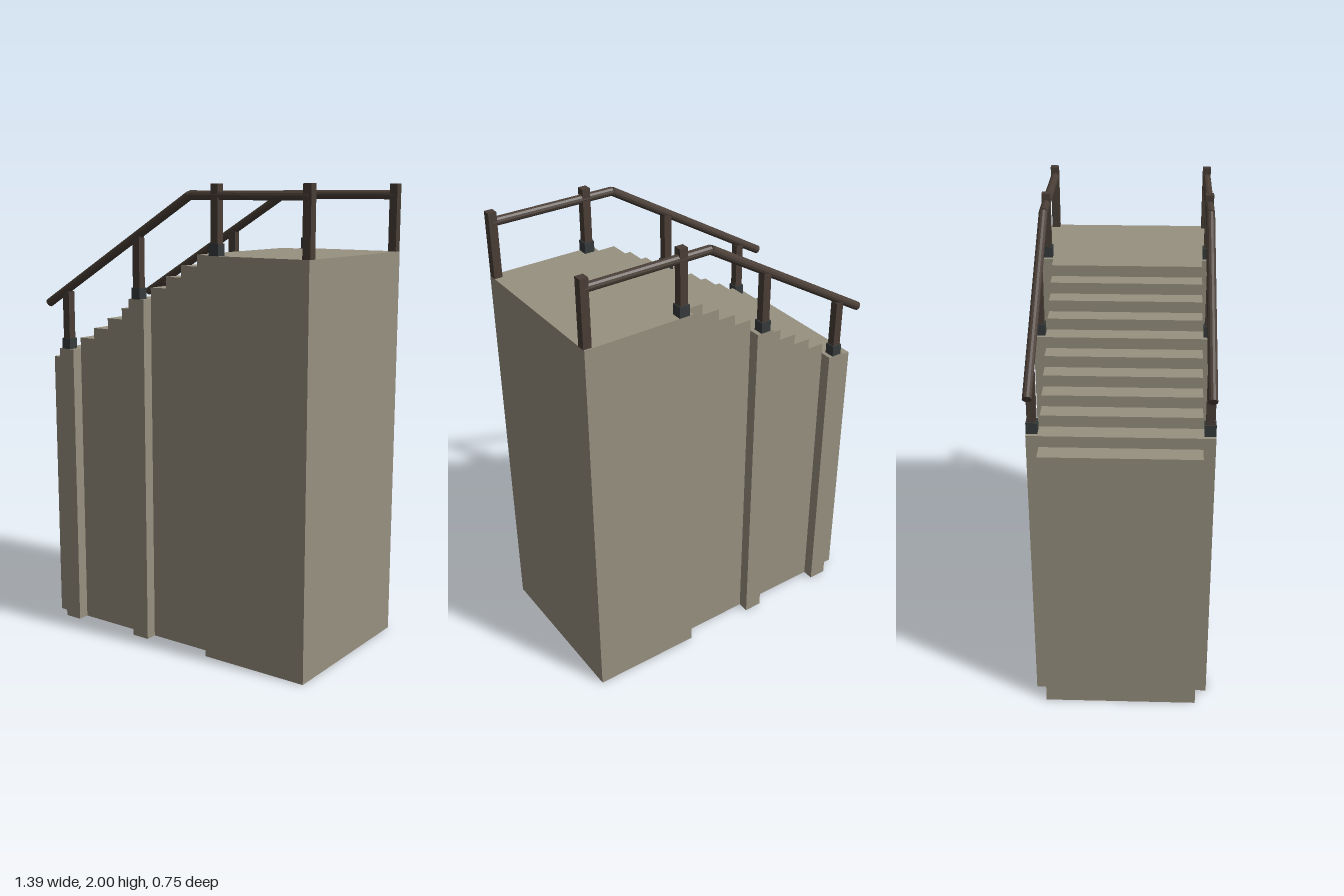
import * as THREE from 'three';

const stone = new THREE.MeshStandardMaterial({ color: 0x989180, flatShading: true });
const wood = new THREE.MeshStandardMaterial({ color: 0x4a3e36, flatShading: true });
const iron = new THREE.MeshStandardMaterial({ color: 0x363b3c, flatShading: true });

const LEFT = -0.69, RIGHT = 0.694, LANDING = 0.205;
const RUN = 0.0818, RISE = 0.049, BASE = 1.225, TOP = BASE + 10 * RISE;
const INNER = 0.325, OUTER = 0.375, RAIL_Z = 0.352;

// Box given by its lower and upper limits on each axis
function box(name, mat, x0, x1, y0, y1, z0, z1) {
  const mesh = new THREE.Mesh(new THREE.BoxGeometry(x1 - x0, y1 - y0, z1 - z0), mat);
  mesh.position.set((x0 + x1) / 2, (y0 + y1) / 2, (z0 + z1) / 2);
  mesh.name = name;
  return mesh;
}

// Round rail between two points in the XY plane
function bar(name, a, b, z) {
  const d = b.clone().sub(a);
  const mesh = new THREE.Mesh(new THREE.CylinderGeometry(0.019, 0.019, d.length(), 12), wood);
  mesh.position.set((a.x + b.x) / 2, (a.y + b.y) / 2, z);
  mesh.rotation.z = Math.atan2(d.y, d.x) - Math.PI / 2;
  mesh.name = name;
  return mesh;
}

export function createModel() {
  const model = new THREE.Group();
  model.name = 'stairBlock';

  // Stepped core, extruded from its side profile
  const profile = new THREE.Shape();
  profile.moveTo(LEFT, 0);
  profile.lineTo(LANDING, 0);
  profile.lineTo(LANDING, TOP);
  for (let i = 10; i > 0; i--) {
    profile.lineTo(LEFT + i * RUN, BASE + i * RISE);
    profile.lineTo(LEFT + i * RUN, BASE + (i - 1) * RISE);
  }
  profile.lineTo(LEFT, BASE);
  profile.closePath();
  const geo = new THREE.ExtrudeGeometry(profile, { depth: 2 * INNER, bevelEnabled: false });
  geo.translate(0, 0, -INNER);
  const stairs = new THREE.Mesh(geo, stone);
  stairs.name = 'stairs';
  model.add(stairs);

  // Wider landing block
  model.add(box('landing', stone, LANDING, RIGHT, 0, TOP, -OUTER, OUTER));

  for (const side of [1, -1]) {
    const label = side > 0 ? 'front' : 'back';
    const z = side * RAIL_Z;

    // Pilasters beneath the two stair posts
    for (const step of [1, 6]) {
      const x = LEFT + step * RUN;
      const zs = [side * INNER, side * OUTER].sort((a, b) => a - b);
      model.add(box(label + 'Pilaster', stone, x, x + RUN, 0, BASE + step * RISE, ...zs));
    }

    // Posts with iron shoes; the end post has none
    const railing = new THREE.Group();
    railing.name = label + 'Railing';
    const posts = [
      [-0.568, BASE + RISE, 1.53, true],
      [-0.16, BASE + 6 * RISE, 1.785, true],
      [0.247, TOP, 2, true],
      [0.677, TOP, 2, false],
    ];
    for (const [x, y0, y1, shoe] of posts) {
      railing.add(box('post', wood, x - 0.018, x + 0.018, y0, y1, z - 0.018, z + 0.018));
      if (shoe) railing.add(box('postShoe', iron, x - 0.023, x + 0.023, y0, y0 + 0.048, z - 0.023, z + 0.023));
    }

    // Sloping and level handrails
    const bend = new THREE.Vector2(0.114, 1.954);
    railing.add(bar('slopingRail', new THREE.Vector2(-0.685, 1.473), bend, z));
    railing.add(bar('levelRail', bend, new THREE.Vector2(0.677, 1.954), z));
    model.add(railing);
  }
  return model;
}
